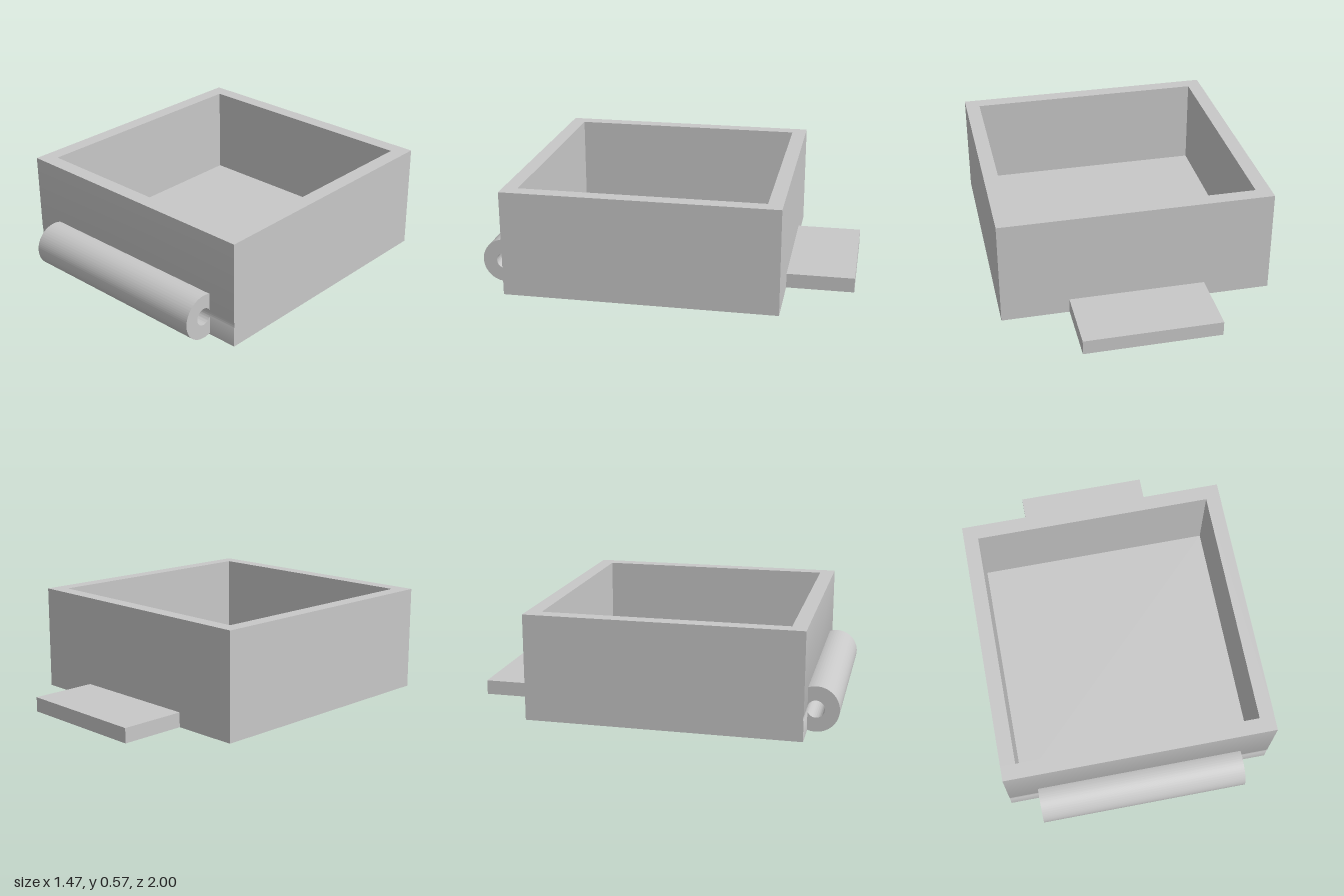
import * as THREE from 'three';
import { toCreasedNormals } from 'three/addons/utils/BufferGeometryUtils.js';

const W = 0.735, H = 0.575, WALL = 0.08;       // half width, height, wall thickness
const BACK = -0.635, FRONT = 0.835;            // tray ends along z
const CZ = 0.878, CY = 0.123, R = 0.122, BORE = 0.046; // hinge barrel

export function createModel() {
  const group = new THREE.Group();
  const grey = new THREE.MeshStandardMaterial({ color: 0xc8c8c8 });
  grey.name = 'plain grey';

  const add = (name, geometry) => {
    const mesh = new THREE.Mesh(geometry, grey);
    mesh.name = name;
    group.add(mesh);
    return mesh;
  };
  const box = (name, w, h, z0, z1) =>
    add(name, new THREE.BoxGeometry(w, h, z1 - z0)).position.set(0, h / 2, (z0 + z1) / 2);

  // Side profile (z, y) swept along x and centred on x = 0
  const sweep = (name, shape, width) => {
    const g = new THREE.ExtrudeGeometry(shape, { depth: width, bevelEnabled: false, curveSegments: 64 });
    g.translate(0, 0, -width / 2).rotateY(-Math.PI / 2);
    add(name, toCreasedNormals(g, 0.5));
  };

  // Side and back walls as one U, extruded upwards
  const u = new THREE.Shape([
    [-W, FRONT - WALL], [-W, BACK], [W, BACK], [W, FRONT - WALL],
    [W - WALL, FRONT - WALL], [W - WALL, BACK + WALL],
    [-W + WALL, BACK + WALL], [-W + WALL, FRONT - WALL],
  ].map(([x, z]) => new THREE.Vector2(x, -z)));
  const walls = new THREE.ExtrudeGeometry(u, { depth: H, bevelEnabled: false });
  walls.rotateX(-Math.PI / 2);
  add('sideAndBackWalls', walls);

  // Floor of the tray
  box('floor', 2 * (W - WALL), WALL, BACK + WALL, FRONT - WALL);

  // Front wall, grazed by the hinge bore along its whole width
  const outerAngle = Math.acos((FRONT - CZ) / R);
  const boreAngle = Math.acos((FRONT - CZ) / BORE);
  const front = new THREE.Shape();
  front.moveTo(FRONT - WALL, 0);
  front.lineTo(FRONT, 0);
  front.absarc(CZ, CY, BORE, -boreAngle, boreAngle, true);
  front.lineTo(FRONT, H);
  front.lineTo(FRONT - WALL, H);
  front.closePath();
  sweep('frontWall', front, 2 * W);

  // Hinge barrel, cut off where it meets the wall
  const barrel = new THREE.Shape();
  barrel.absarc(CZ, CY, R, -outerAngle, outerAngle, false);
  barrel.absarc(CZ, CY, BORE, boreAngle, -boreAngle, true);
  barrel.closePath();
  sweep('hingeBarrel', barrel, 1.14);

  // Flat tab at the back
  box('backTab', 0.74, WALL, -1, BACK);

  return group;
}
